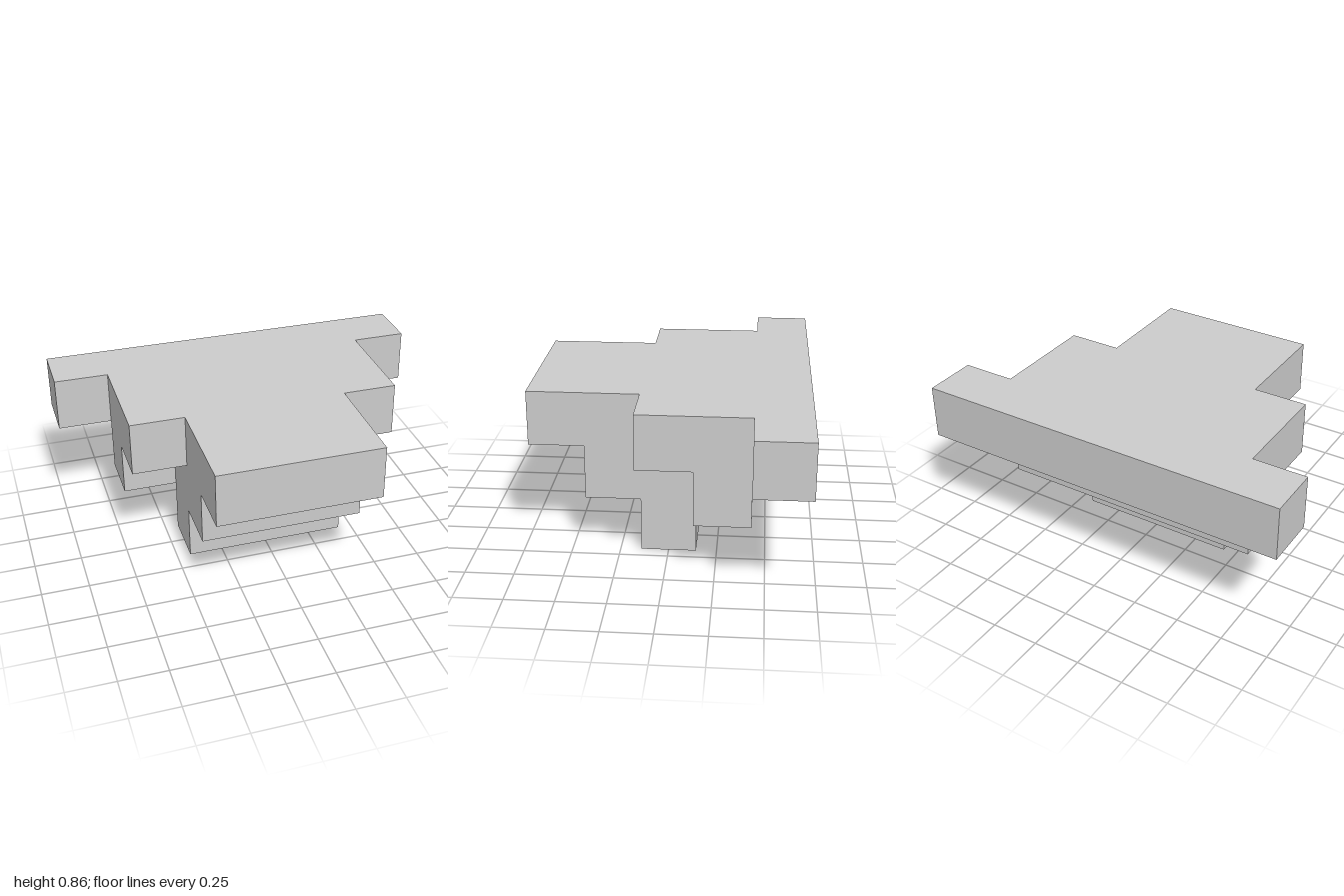
import * as THREE from 'three';

const U = 2 / 7; // one step of the stepped block

// Extrudes a side profile, given as [distance to the back, height] in steps, from x0 to x1
function slab(name, profile, x0, x1) {
  const shape = new THREE.Shape(profile.map(([a, y]) => new THREE.Vector2(a * U, y * U)));
  const geometry = new THREE.ExtrudeGeometry(shape, { depth: (x1 - x0) * U, bevelEnabled: false });
  geometry.rotateY(Math.PI / 2).translate(x0 * U, 0, 0);
  const mesh = new THREE.Mesh(geometry, new THREE.MeshStandardMaterial({ color: 0xcccccc, flatShading: true }));
  mesh.name = name;
  return mesh;
}

export function createModel() {
  const group = new THREE.Group();
  group.name = 'steppedBlock';

  // Central inverted staircase, three steps wide
  group.add(slab('centralCore', [
    [-0.5, 0], [0.5, 0], [0.5, 1], [1.5, 1], [1.5, 2], [2.5, 2],
    [2.5, 3], [-2.5, 3], [-2.5, 2], [-1.5, 2], [-1.5, 1], [-0.5, 1],
  ], -1.5, 1.5));

  // Side shoulder with its hanging leg, and the outer end of the rear bar
  const shoulder = [[-0.5, 2], [0.5, 2], [0.5, 1], [1.5, 1], [1.5, 2], [2.5, 2], [2.5, 3], [-0.5, 3]];
  const barEnd = [[1.5, 2], [2.5, 2], [2.5, 3], [1.5, 3]];
  group.add(
    slab('leftShoulder', shoulder, 1.5, 2.5),
    slab('rightShoulder', shoulder, -2.5, -1.5),
    slab('leftRearBarEnd', barEnd, 2.5, 3.5),
    slab('rightRearBarEnd', barEnd, -3.5, -2.5),
  );
  return group;
}
